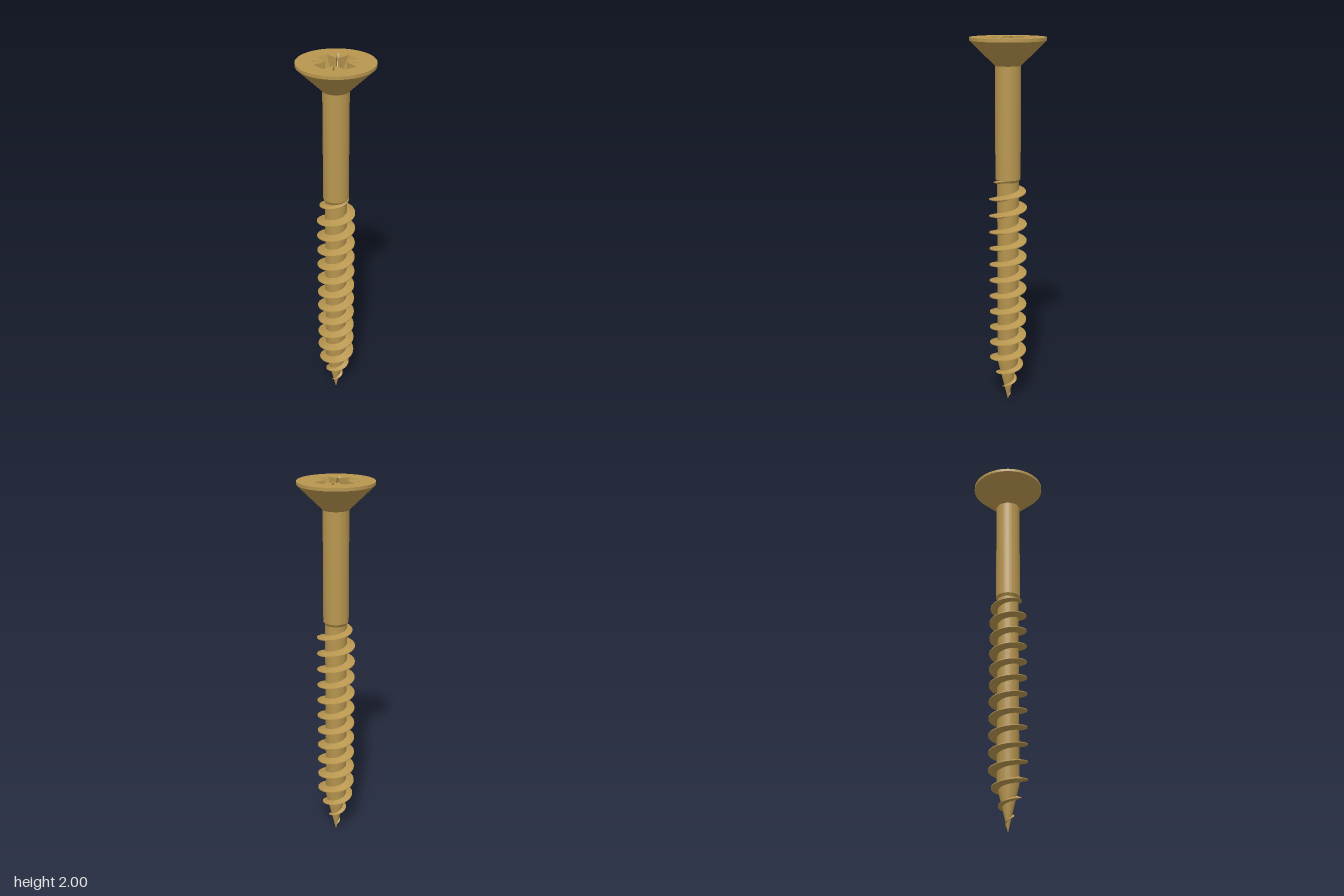
import * as THREE from 'three';
import { toCreasedNormals } from 'three/addons/utils/BufferGeometryUtils.js';

const material = new THREE.MeshStandardMaterial({ color: 0xb8964f });
const CORE_R = 0.057, TAPER_TOP = 0.24, THREAD_TOP = 1.29;
const PITCH = 0.0905, CREST_R = 0.1;

function part(name, geometry) {
  const mesh = new THREE.Mesh(geometry, material);
  mesh.name = name;
  return mesh;
}

// Surface of revolution from [radius, y] pairs, with sharp edges kept
function revolve(name, pairs) {
  const points = pairs.map(([r, y]) => new THREE.Vector2(r, y));
  return part(name, toCreasedNormals(new THREE.LatheGeometry(points, 64), 0.5));
}

// Triangulated horizontal face at height y
function flatFace(name, shape, y) {
  const geometry = new THREE.ShapeGeometry(shape, 64);
  geometry.rotateX(-Math.PI / 2);
  geometry.translate(0, y, 0);
  return part(name, geometry);
}

// Helical ridge that grows from the tip and fades into the shank
function threadGeometry() {
  const y0 = 0.02, perTurn = 48;
  const steps = Math.round((THREAD_TOP - y0) / PITCH * perTurn);
  const positions = [], index = [];
  for (let i = 0; i <= steps; i++) {
    const y = y0 + (THREAD_TOP - y0) * i / steps;
    const a = (y - 0.972) / PITCH * Math.PI * 2;
    const fade = CREST_R - Math.max(0, y - 1.2) * 0.42;
    const crest = Math.min(fade, 0.385 * y);
    const root = CORE_R * Math.min(1, y / TAPER_TOP) * 0.92;
    const half = 0.016 * Math.min(1, crest / CREST_R);
    const section = [[root, -half], [crest, -half * 0.15], [crest, half * 0.15], [root, half]];
    for (const [r, dy] of section) positions.push(r * Math.sin(a), y + dy, r * Math.cos(a));
    if (i === steps) break;
    for (let k = 0; k < 3; k++) {
      const p = i * 4 + k, q = p + 4;
      index.push(p, q, q + 1, p, q + 1, p + 1);
    }
  }
  const geometry = new THREE.BufferGeometry();
  geometry.setAttribute('position', new THREE.Float32BufferAttribute(positions, 3));
  geometry.setIndex(index);
  return toCreasedNormals(geometry, 0.5);
}

// Cross outline with a narrow diagonal notch in each inner corner
function crossOutline(armLength, armHalf, notchEnd) {
  const c = 0.037, w = 0.003, points = [];
  const quadrant = [
    [armLength, -armHalf], [armLength, armHalf], [c + w, c - w],
    [notchEnd + w, notchEnd - w], [notchEnd - w, notchEnd + w], [c - w, c + w],
  ];
  for (let k = 0; k < 4; k++) {
    for (const [x, y] of quadrant) {
      points.push(new THREE.Vector2(x, y).rotateAround(new THREE.Vector2(), k * Math.PI / 2));
    }
  }
  return points;
}

// Inward-facing walls between two matching outlines
function wallGeometry(top, topY, bottom, bottomY) {
  const positions = [];
  const add = (p, y) => positions.push(p.x, y, -p.y);
  top.forEach((t, i) => {
    const j = (i + 1) % top.length;
    add(t, topY); add(top[j], topY); add(bottom[j], bottomY);
    add(t, topY); add(bottom[j], bottomY); add(bottom[i], bottomY);
  });
  const geometry = new THREE.BufferGeometry();
  geometry.setAttribute('position', new THREE.Float32BufferAttribute(positions, 3));
  geometry.computeVertexNormals();
  return geometry;
}

function driveRecess(topOutline) {
  const recess = new THREE.Group();
  recess.name = 'driveRecess';
  const floorY = 1.9, dimpleR = 0.046;
  const bottomOutline = crossOutline(0.066, 0.026, 0.045);
  recess.add(part('recessWalls', wallGeometry(topOutline, 2, bottomOutline, floorY)));
  const floor = new THREE.Shape(bottomOutline);
  floor.holes.push(new THREE.Path().absarc(0, 0, dimpleR, 0, Math.PI * 2, true));
  recess.add(flatFace('recessFloor', floor, floorY));
  recess.add(revolve('recessDimple', [[dimpleR, floorY], [0, floorY - 0.025]]));
  return recess;
}

export function createModel() {
  const screw = new THREE.Group();
  screw.name = 'screw';

  // Countersunk head with its drive recess
  const topOutline = crossOutline(0.109, 0.034, 0.084);
  const face = new THREE.Shape().absarc(0, 0, 0.194, 0, Math.PI * 2, false);
  face.holes.push(new THREE.Path(topOutline));
  screw.add(revolve('head', [[0.066, 1.86], [0.194, 1.984], [0.194, 2]]));
  screw.add(flatFace('headFace', face, 2));
  screw.add(driveRecess(topOutline));

  // Plain shank, tapered core and thread
  screw.add(revolve('shank', [[CORE_R, 1.265], [0.066, 1.28], [0.066, 1.86]]));
  screw.add(revolve('core', [[0, 0], [CORE_R, TAPER_TOP], [CORE_R, 1.265]]));
  screw.add(part('thread', threadGeometry()));
  return screw;
}
